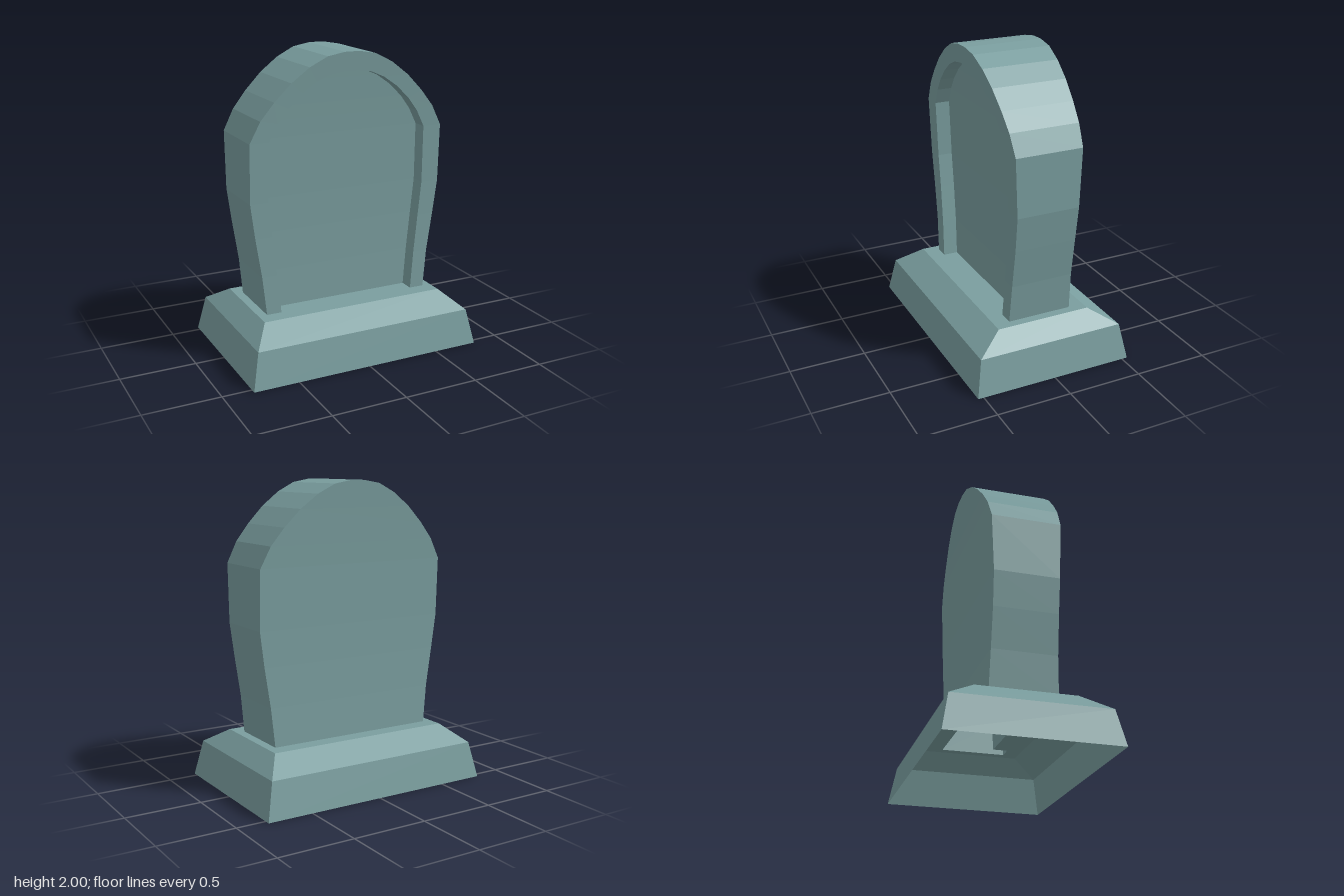
import * as THREE from 'three';

const material = new THREE.MeshStandardMaterial({ color: 0x7a9e9f, flatShading: true, side: THREE.DoubleSide });

// Half outlines of the slab and its sunken panel, from foot to crown
const OUTER = [[0.58, 0.345], [0.605, 0.6], [0.645, 0.86], [0.675, 1.09], [0.675, 1.475], [0.605, 1.61],
  [0.515, 1.72], [0.405, 1.83], [0.285, 1.92], [0.165, 1.98], [0.05, 2]];
const INNER = [[0.48, 0.345], [0.503, 0.6], [0.53, 0.86], [0.552, 1.09], [0.547, 1.475], [0.49, 1.585],
  [0.42, 1.675], [0.33, 1.76], [0.235, 1.825], [0.14, 1.866], [0.045, 1.88]];
const RECESS = 0.1;
const BASE_TOP = 0.345;

// The slab is waisted: thinnest low down, flaring towards the crown
const halfDepth = (y) => 0.208 + 0.055 * ((y - 0.8) / 1.2) ** 2;
const front = (y) => halfDepth(y);
const back = (y) => -halfDepth(y);
const sunk = (y) => halfDepth(y) - RECESS;

const mirror = (pts) => pts.map(([x, y]) => [-x, y]);
const arch = (pts) => [...pts, ...mirror(pts).reverse()];
const place = (pts, depth) => pts.map(([x, y]) => [x, y, depth(y)]);

// Joins successive rows of points with quads
function skin(name, rows) {
  const pos = [];
  for (let i = 0; i < rows.length - 1; i++) {
    const a = rows[i], b = rows[i + 1];
    for (let j = 0; j < a.length - 1; j++) {
      pos.push(...a[j], ...a[j + 1], ...b[j + 1], ...a[j], ...b[j + 1], ...b[j]);
    }
  }
  const geometry = new THREE.BufferGeometry();
  geometry.setAttribute('position', new THREE.Float32BufferAttribute(pos, 3));
  geometry.computeVertexNormals();
  const mesh = new THREE.Mesh(geometry, material);
  mesh.name = name;
  return mesh;
}

function createSlab() {
  const slab = new THREE.Group();
  slab.name = 'headstone';
  const outer = arch(OUTER), inner = arch(INNER);
  slab.add(
    // Side wall, raised front rim and the step into the recess
    skin('rimAndSides', [place(outer, back), place(outer, front), place(inner, front), place(inner, sunk)]),
    skin('frontPanel', [place(INNER, sunk), place(mirror(INNER), sunk)]),
    skin('backFace', [place(mirror(OUTER), back), place(OUTER, back)])
  );
  return slab;
}

function createBase() {
  const base = new THREE.Group();
  base.name = 'base';
  // Sloped plinth walls, open underneath
  const ring = (x, y, z) => [[-x, y, z], [x, y, z], [x, y, -z], [-x, y, -z], [-x, y, z]];
  base.add(skin('plinthWalls', [ring(0.805, 0, 0.538), ring(0.755, 0.238, 0.494), ring(0.638, BASE_TOP, 0.318)]));

  // Ledge with an opening that follows the slab's footprint
  const toShape = (pts) => pts.map(([x, z]) => new THREE.Vector2(x, -z));
  const ledge = new THREE.Shape(toShape([[-0.638, 0.318], [0.638, 0.318], [0.638, -0.318], [-0.638, -0.318]]));
  const d = halfDepth(BASE_TOP), xo = OUTER[0][0], xi = INNER[0][0];
  ledge.holes.push(new THREE.Path(toShape([[-xo, -d], [xo, -d], [xo, d], [xi, d],
    [xi, d - RECESS], [-xi, d - RECESS], [-xi, d], [-xo, d]])));
  const top = new THREE.Mesh(new THREE.ShapeGeometry(ledge).rotateX(-Math.PI / 2), material);
  top.name = 'plinthLedge';
  top.position.y = BASE_TOP;
  base.add(top);
  return base;
}

export function createModel() {
  const model = new THREE.Group();
  model.name = 'gravestone';
  model.add(createBase(), createSlab());
  return model;
}
